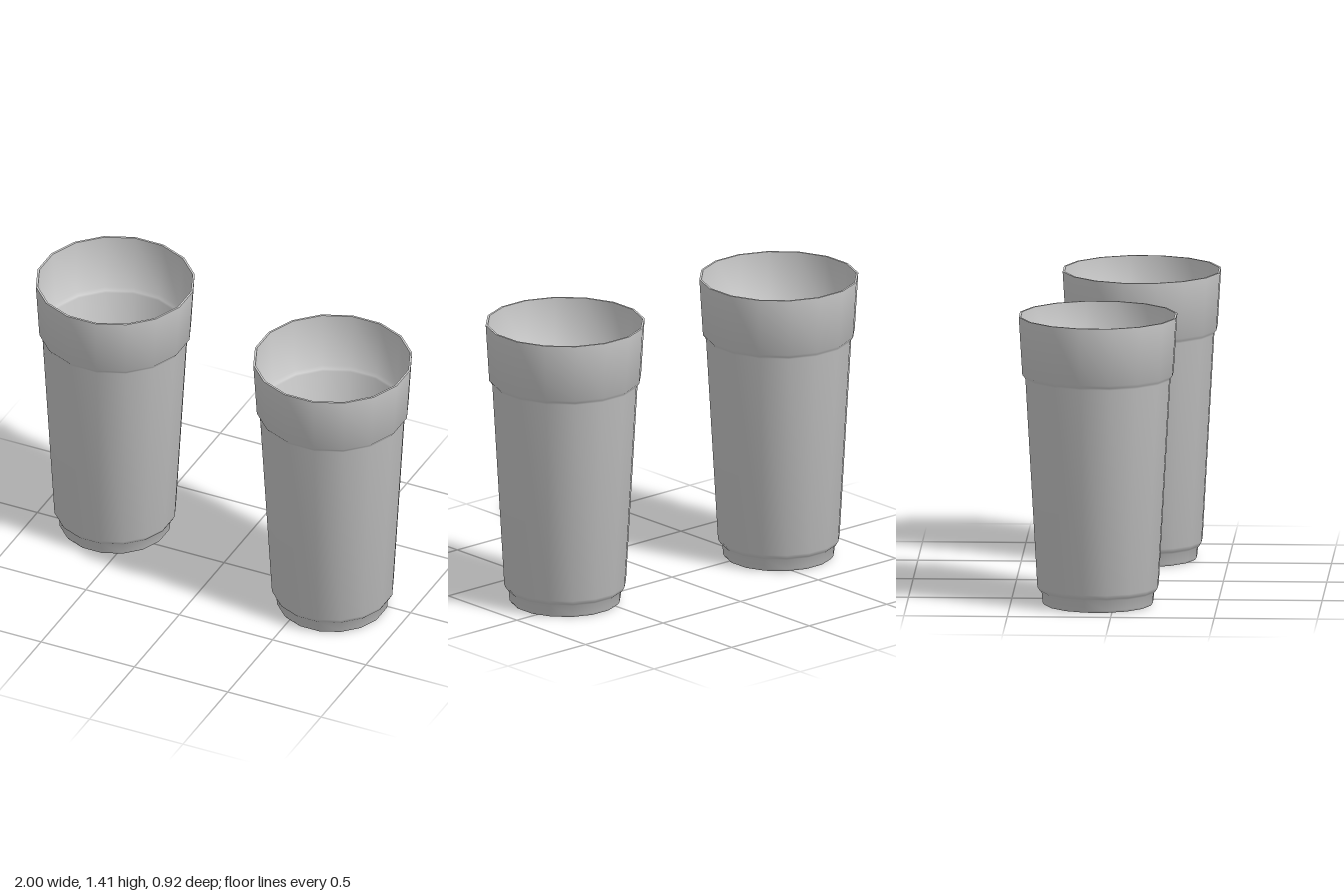
import * as THREE from 'three';
import { toCreasedNormals } from 'three/addons/utils/BufferGeometryUtils.js';

const SIDES = 16;
// Radii are measured across the flats, so widen them to reach the corners.
const CORNER = 1 / Math.cos(Math.PI / SIDES);

// Closed cross-section of the cup: underside, outer wall, rim, inner wall, floor.
const PROFILE = [
  [0, 0], [0.258, 0], [0.266, 0.012], [0.27, 0.06], [0.28, 0.07], [0.291, 0.09],
  [0.348, 1.108], [0.352, 1.118], [0.363, 1.132],
  [0.38, 1.415], [0.37, 1.415],
  [0.353, 1.137], [0.342, 1.123], [0.338, 1.113],
  [0.281, 0.095], [0.27, 0.075], [0.26, 0.065], [0.256, 0.015], [0, 0.015],
];

function cupGeometry() {
  const points = PROFILE.map(([r, y]) => new THREE.Vector2(r * CORNER, y));
  const lathe = new THREE.LatheGeometry(points, SIDES, Math.PI / SIDES);
  return toCreasedNormals(lathe, 0.9);
}

export function createModel() {
  const model = new THREE.Group();
  model.name = 'pairOfCups';
  const material = new THREE.MeshStandardMaterial({ color: 0xcccccc });
  const geometry = cupGeometry();

  // Two matching cups, set diagonally
  for (const [name, side] of [['leftCup', 1], ['rightCup', -1]]) {
    const cup = new THREE.Mesh(geometry, material);
    cup.name = name;
    cup.position.set(0.62 * side, 0, 0.078 * side);
    model.add(cup);
  }
  return model;
}
